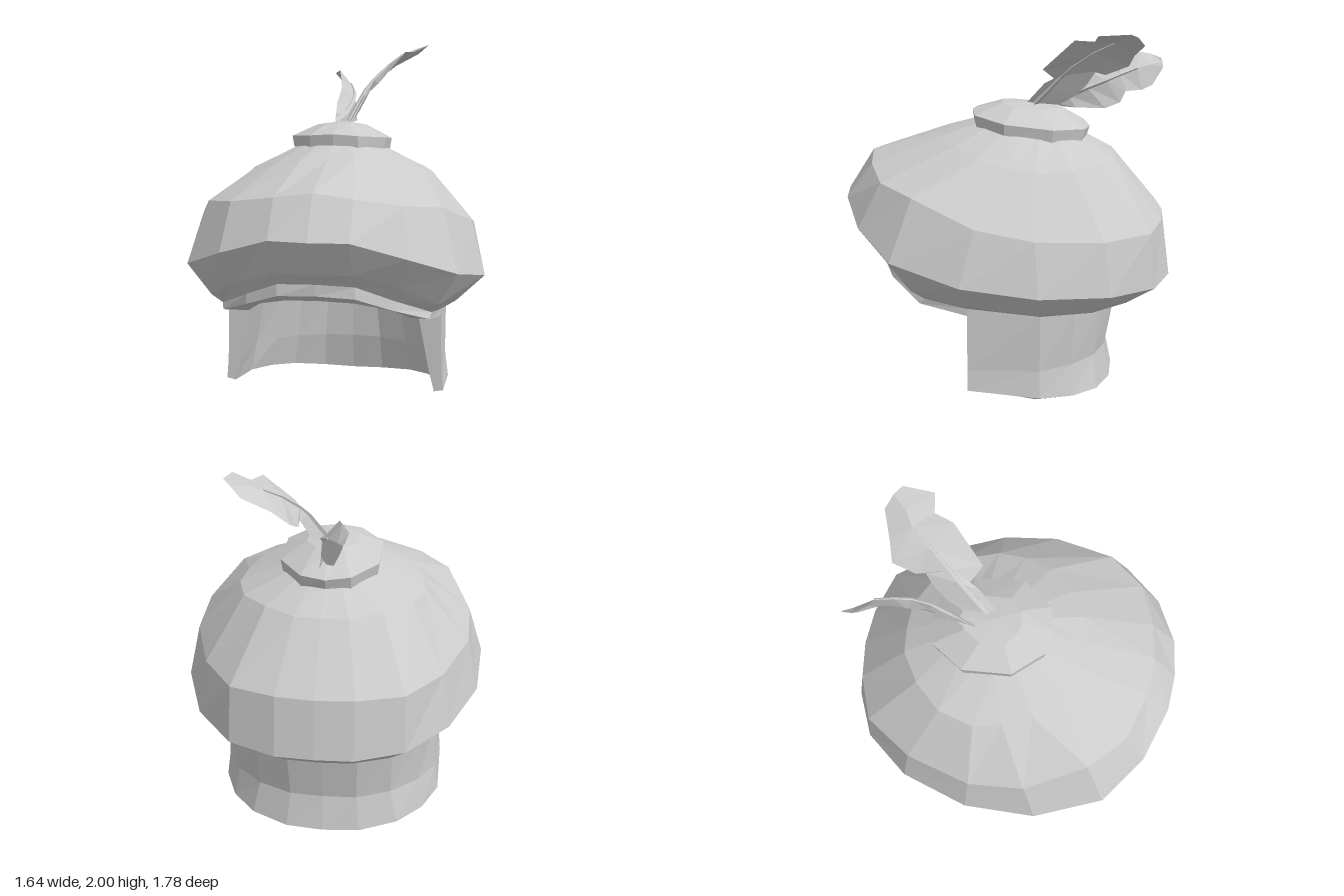
import * as THREE from 'three';

const solid = new THREE.MeshStandardMaterial({ color: 0xcccccc, flatShading: true });
const thin = new THREE.MeshStandardMaterial({ color: 0xcccccc, flatShading: true, side: THREE.DoubleSide });

// Joins rows of [x, y, z] points into a faceted skin; optionally closes each row and caps the last one.
function loft(name, rows, { closed = false, cap = null, material = solid } = {}) {
  const pos = [];
  const n = rows[0].length;
  for (let r = 0; r < rows.length - 1; r++) {
    for (let i = 0; i < (closed ? n : n - 1); i++) {
      const j = (i + 1) % n;
      const [a, b, c, d] = [rows[r][i], rows[r][j], rows[r + 1][j], rows[r + 1][i]];
      pos.push(...a, ...b, ...c, ...a, ...c, ...d);
    }
  }
  if (cap) {
    const last = rows[rows.length - 1];
    last.forEach((p, i) => pos.push(...p, ...last[(i + 1) % n], ...cap));
  }
  const g = new THREE.BufferGeometry();
  g.setAttribute('position', new THREE.Float32BufferAttribute(pos, 3));
  g.computeVertexNormals();
  const mesh = new THREE.Mesh(g, material);
  mesh.name = name;
  return mesh;
}

const flip = ([x, y, z]) => [-x, y, z];
// Half outline from front centre to back centre, mirrored to a full ring
const ring = (half) => [...half, ...half.slice(1, -1).reverse().map(flip)];
// Half path ending at the back centre -> U around the back
const backU = (half) => [...half, ...half.slice(0, -1).reverse().map(flip)];
// Half path starting at the front centre -> arch across the front
const frontArch = (half) => [...half.slice(1).reverse().map(flip), ...half];

// Shared edges of the visor band and the neck guard
const bandTop = [[0, .83, .7], [.2, .82, .68], [.38, .74, .6], [.56, .64, .42], [.59, .6, .2]];
const bandBottom = [[0, .77, .7], [.2, .76, .69], [.38, .69, .61], [.55, .61, .45], [.59, .56, .2]];
const bandInner = [[0, .72, .6], [.18, .71, .58], [.34, .66, .48], [.44, .58, .34], [.47, .55, .2]];
const guardTop = [[.59, .6, .2], [.59, .56, -.18], [.52, .55, -.36], [.37, .54, -.51], [.19, .54, -.59], [0, .54, -.6]];
const guardInner = [[.47, .55, .2], [.47, .54, -.14], [.4, .5, -.28], [.3, .47, -.39], [.15, .45, -.46], [0, .45, -.47]];

function crown() {
  const underside = [[0, .9, .79], [.2, .9, .77], [.42, .82, .66], [.6, .7, .49], [.67, .65, .2],
    [.67, .6, -.17], [.55, .57, -.45], [.36, .55, -.64], [.17, .55, -.72], [0, .55, -.73]];
  const rim = [[0, 1.08, .89], [.2, 1.08, .87], [.47, .99, .77], [.7, .885, .58], [.82, .8, .22],
    [.8, .74, -.17], [.66, .7, -.54], [.45, .67, -.78], [.2, .66, -.88], [0, .66, -.89]];
  const shoulder = [[0, 1.3, .75], [.2, 1.27, .73], [.44, 1.23, .65], [.61, 1.2, .47], [.74, 1.08, .15],
    [.74, 1.02, -.15], [.62, .98, -.5], [.44, .97, -.75], [.2, .97, -.83], [0, .97, -.85]];
  const upper = [[0, 1.41, .36], [.14, 1.41, .35], [.28, 1.39, .27], [.42, 1.35, .15], [.48, 1.32, 0],
    [.5, 1.3, -.15], [.44, 1.3, -.34], [.3, 1.3, -.48], [.14, 1.29, -.57], [0, 1.29, -.58]];
  const neck = upper.map((_, i) => {
    const a = (i / 9) * Math.PI;
    return [.23 * Math.sin(a), 1.44 + .04 * Math.cos(a), -.12 + .28 * Math.cos(a)];
  });
  const opening = [...bandTop, ...guardTop.slice(1)];
  return loft('crown', [opening, underside, rim, shoulder, upper, neck].map(ring),
    { closed: true, cap: [0, 1.47, -.12] });
}

function lining() {
  const edge = [...bandInner, ...guardInner.slice(1)];
  const inset = (s, y) => edge.map(([x, , z]) => [x * s, y, z * s]);
  return loft('lining', [edge, inset(.85, .95), inset(.5, 1.2)].map(ring),
    { closed: true, cap: [0, 1.28, 0], material: thin });
}

// Round button on top of the crown
function button() {
  const bottom = [[0, 1.46, .19], [.13, 1.45, .17], [.25, 1.44, .02], [.25, 1.4, -.23], [.13, 1.38, -.39], [0, 1.38, -.42]];
  const top = [[0, 1.53, .2], [.13, 1.52, .18], [.26, 1.5, .02], [.26, 1.47, -.24], [.13, 1.45, -.41], [0, 1.44, -.44]];
  const crest = [[0, 1.575, .04], [.06, 1.575, .03], [.13, 1.56, -.03], [.13, 1.55, -.16], [.07, 1.55, -.25], [0, 1.55, -.28]];
  return loft('topButton', [bottom, top, crest].map(ring), { closed: true, cap: [0, 1.575, -.1] });
}

function neckGuard() {
  const mid = [[.6, .25, .2], [.59, .25, -.18], [.5, .25, -.35], [.36, .24, -.47], [.18, .23, -.54], [0, .23, -.55]];
  const bottom = [[.61, .14, .2], [.61, .1, -.18], [.53, .08, -.36], [.4, .06, -.49], [.2, .04, -.57], [0, .04, -.59]];
  const lip = [[.56, .13, .2], [.56, .07, -.16], [.48, .05, -.32], [.36, .03, -.44], [.18, .01, -.51], [0, 0, -.53]];
  const inMid = [[.53, .25, .2], [.53, .24, -.16], [.44, .23, -.3], [.33, .22, -.41], [.17, .22, -.47], [0, .22, -.48]];
  const group = new THREE.Group();
  group.name = 'neckGuard';
  group.add(loft('guardShell', [guardInner, inMid, lip, bottom, mid, guardTop].map(backU)));
  // Flat front ends of the two cheeks
  const outer = [guardTop, mid, bottom].map((r) => r[0]);
  const inner = [guardInner, inMid, lip].map((r) => r[0]);
  group.add(loft('leftCheekEdge', [outer, inner], { material: thin }));
  group.add(loft('rightCheekEdge', [outer.map(flip), inner.map(flip)], { material: thin }));
  return group;
}

// Feather from rows of [upper edge, spine, lower edge] with a tapering quill along the spine
function feather(name, rows) {
  const group = new THREE.Group();
  group.name = name;
  group.add(loft('vane', rows, { material: thin }));
  const spine = rows.slice(0, 6).map((r) => new THREE.Vector3(...r[1]));
  const rings = spine.map((p, i) => {
    const rad = .018 - .0022 * i;
    const dir = spine[Math.min(i + 1, 5)].clone().sub(spine[Math.max(i - 1, 0)]).normalize();
    const u = new THREE.Vector3(1, 0, 0).cross(dir).normalize();
    const v = dir.clone().cross(u);
    return [0, 1, 2, 3].map((k) => p.clone()
      .addScaledVector(u, rad * Math.cos(k * Math.PI / 2))
      .addScaledVector(v, rad * Math.sin(k * Math.PI / 2)).toArray());
  });
  group.add(loft('quill', rings, { closed: true, cap: spine[5].toArray() }));
  return group;
}

function leftFeather() {
  return feather('leftFeather', [
    [[.05, 1.58, -.1], [.03, 1.57, -.14], [.03, 1.56, -.27]],
    [[.1, 1.69, -.19], [.07, 1.66, -.22], [.06, 1.62, -.36]],
    [[.12, 1.72, -.24], [.1, 1.73, -.28], [.09, 1.69, -.42]],
    [[.19, 1.78, -.18], [.14, 1.79, -.34], [.12, 1.76, -.46]],
    [[.32, 1.95, -.34], [.21, 1.87, -.44], [.12, 1.74, -.51]],
    [[.36, 1.95, -.44], [.28, 1.93, -.54], [.14, 1.79, -.63]],
    [[.45, 1.99, -.45], [.35, 1.96, -.58], [.23, 1.86, -.65]],
    [[.46, 2, -.61], [.42, 1.98, -.65], [.36, 1.93, -.69]],
  ]);
}

function rightFeather() {
  return feather('rightFeather', [
    [[-.06, 1.6, -.22], [-.06, 1.56, -.2], [-.04, 1.54, -.27]],
    [[-.07, 1.66, -.32], [-.02, 1.6, -.32], [0, 1.54, -.36]],
    [[-.06, 1.74, -.42], [0, 1.65, -.42], [.015, 1.54, -.52]],
    [[-.08, 1.76, -.52], [0, 1.69, -.52], [0, 1.57, -.6]],
    [[-.09, 1.8, -.56], [-.02, 1.72, -.6], [-.01, 1.63, -.63]],
    [[-.12, 1.83, -.7], [-.05, 1.75, -.69], [-.05, 1.63, -.72]],
    [[-.16, 1.81, -.77], [-.11, 1.76, -.78], [-.09, 1.65, -.78]],
    [[-.15, 1.79, -.83], [-.14, 1.77, -.835], [-.13, 1.74, -.84]],
  ]);
}

export function createModel() {
  const model = new THREE.Group();
  model.name = 'featheredCap';
  const visorBand = loft('visorBand', [bandInner, bandBottom, bandTop].map(frontArch));
  model.add(crown(), lining(), button(), visorBand, neckGuard(), leftFeather(), rightFeather());
  return model;
}
